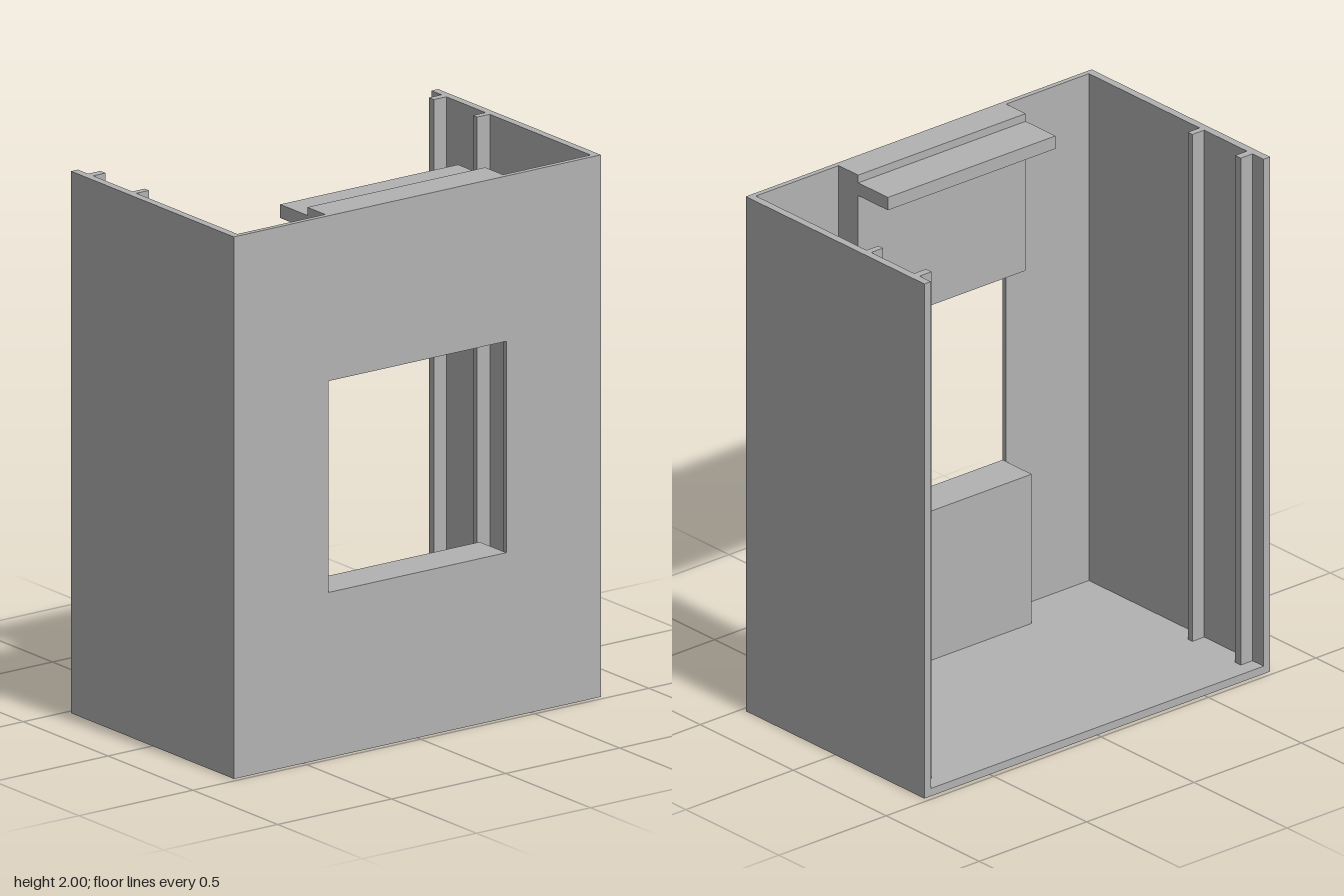
import * as THREE from 'three';

const W = 0.805, D = 0.48, H = 2;      // half width, half depth, height
const IN = 0.775, FRONT = 0.46;        // inner faces of side and front walls
const FLOOR = 0.03;
const OPEN = { x: 0.39, y0: 0.61, y1: 1.39 };

export function createModel() {
  const group = new THREE.Group();
  const grey = new THREE.MeshStandardMaterial({ color: 0xb2b2b2 });
  grey.name = 'plain grey';

  const add = (name, geometry) => {
    const mesh = new THREE.Mesh(geometry, grey);
    mesh.name = name;
    group.add(mesh);
    return mesh;
  };

  // Box given by its limits on each axis
  const block = (name, x0, x1, y0, y1, z0, z1) =>
    add(name, new THREE.BoxGeometry(x1 - x0, y1 - y0, z1 - z0))
      .position.set((x0 + x1) / 2, (y0 + y1) / 2, (z0 + z1) / 2);

  block('floor', -W, W, 0, FLOOR, -D, D);

  // Side walls: plan outline with two guide rails, extruded upwards
  const rail = 0.72;
  const plan = [
    [W, D], [W, -D], [IN, -D],
    [IN, -0.42], [rail, -0.42], [rail, -0.39], [IN, -0.39],
    [IN, -0.16], [rail, -0.16], [rail, -0.135], [IN, -0.135],
    [IN, D],
  ];
  for (const [side, name] of [[1, 'leftWall'], [-1, 'rightWall']]) {
    const shape = new THREE.Shape(plan.map(([x, z]) => new THREE.Vector2(side * x, -z)));
    const wall = new THREE.ExtrudeGeometry(shape, { depth: H - FLOOR, bevelEnabled: false });
    wall.rotateX(-Math.PI / 2).translate(0, FLOOR, 0);
    add(name, wall);
  }

  // Front wall with its square opening
  const rect = (Type, x, y0, y1) => new Type([
    new THREE.Vector2(-x, y0), new THREE.Vector2(x, y0),
    new THREE.Vector2(x, y1), new THREE.Vector2(-x, y1),
  ]);
  const face = rect(THREE.Shape, IN, FLOOR, H);
  face.holes.push(rect(THREE.Path, OPEN.x, OPEN.y0, OPEN.y1));
  const front = new THREE.ExtrudeGeometry(face, { depth: D - FRONT, bevelEnabled: false });
  front.translate(0, 0, FRONT);
  add('frontWall', front);

  // Thick blocks behind the wall, below and above the opening
  block('lowerBlock', -OPEN.x, OPEN.x, FLOOR, OPEN.y0, 0.323, FRONT);
  block('upperBlock', -OPEN.x, OPEN.x, OPEN.y1, H, 0.355, FRONT);

  // Ledge reaching back from the upper block, just under the rim
  block('ledge', -OPEN.x, OPEN.x, 1.92, 1.97, 0.195, 0.355);

  return group;
}
